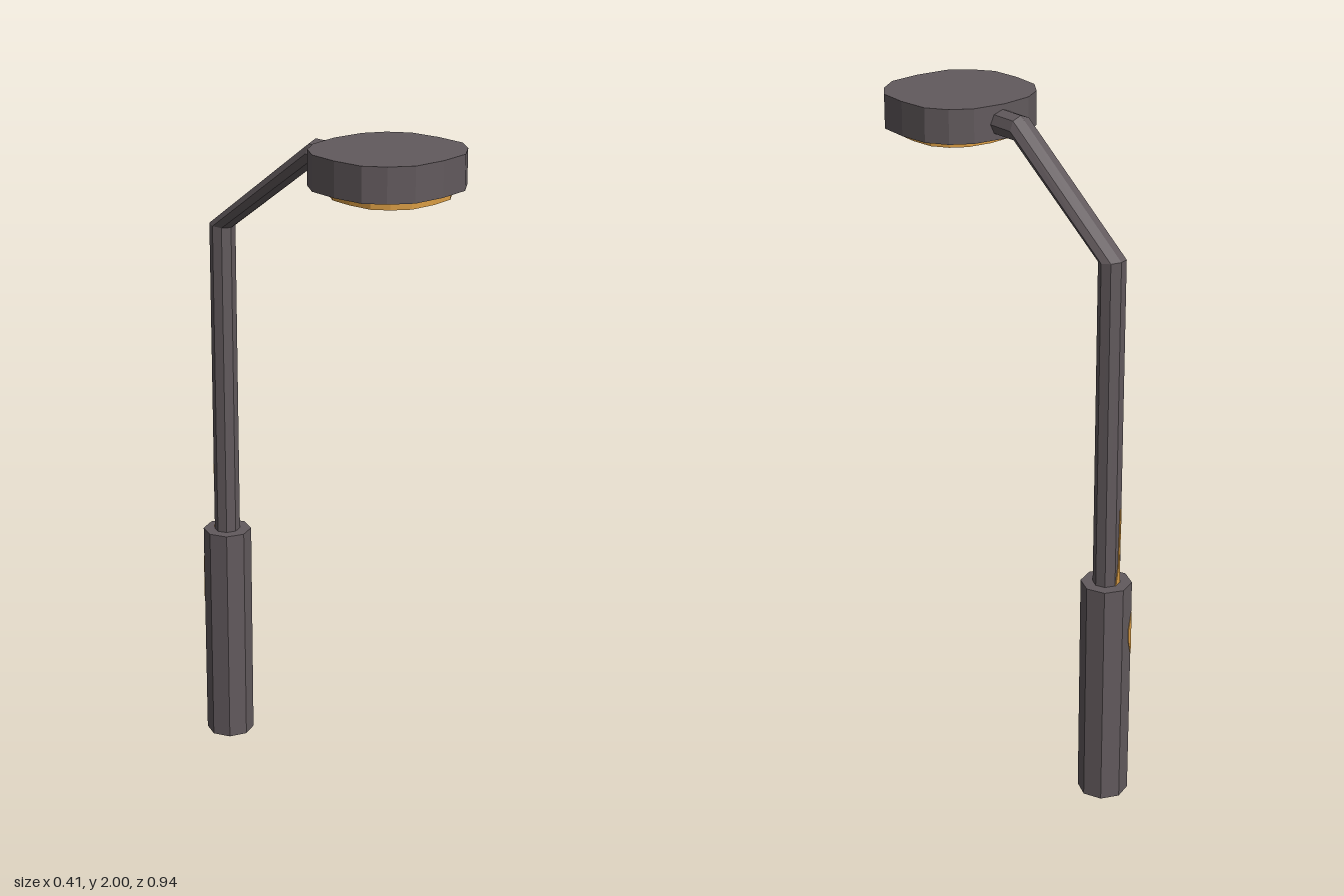
import * as THREE from 'three';

const metal = new THREE.MeshStandardMaterial({ name: 'darkGreyMetal', color: 0x625a5d, flatShading: true });
const amber = new THREE.MeshStandardMaterial({ name: 'amberLight', color: 0xd99c44, flatShading: true });

function add(group, name, geometry, material) {
  const mesh = new THREE.Mesh(geometry, material);
  mesh.name = name;
  group.add(mesh);
  return mesh;
}

// Flat-sided slab from an outline in x and z, hanging down from the height top
function slab(points, top, depth) {
  const shape = new THREE.Shape(points.map(([x, z]) => new THREE.Vector2(x, z)));
  return new THREE.ExtrudeGeometry(shape, { depth, bevelEnabled: false })
    .rotateX(Math.PI / 2)
    .translate(0, top, 0);
}

// Eight-sided bent tube: each ring has a centre and the direction of its front corner
function bentPole(rings, radius) {
  const rows = rings.length - 1;
  const geometry = new THREE.CylinderGeometry(1, 1, rows, 8, rows, true);
  const p = geometry.attributes.position;
  for (let i = 0; i < p.count; i++) {
    const ring = rings[Math.round(p.getY(i) + rows / 2)];
    const x = p.getX(i), f = p.getZ(i);
    p.setXYZ(i, 0.005 + x * radius, ring.y + f * ring.fy, ring.z + f * ring.fz);
  }
  geometry.computeVertexNormals();
  return geometry;
}

export function createModel() {
  const lamp = new THREE.Group();
  lamp.name = 'streetLamp';

  // Thick foot of the post
  add(lamp, 'base', new THREE.CylinderGeometry(0.074, 0.074, 0.695, 8), metal)
    .position.set(0.005, 0.3475, -0.4);

  // Post and angled arm in one piece
  add(lamp, 'postAndArm', bentPole([
    { y: 0.68, z: -0.4, fy: 0, fz: 0.038 },
    { y: 1.67, z: -0.4, fy: -0.005, fz: 0.037 },
    { y: 1.947, z: -0.013, fy: -0.038, fz: -0.002 },
    { y: 1.947, z: 0.12, fy: -0.038, fz: 0 },
  ], 0.04), metal);

  // Sixteen-sided lamp head, slightly squared
  const half = [[0, 0.067], [0.097, 0.08], [0.157, 0.117], [0.197, 0.175],
    [0.207, 0.267], [0.2, 0.36], [0.16, 0.415], [0.099, 0.46], [0, 0.47]];
  const outline = [...half, ...half.slice(1, -1).reverse().map(([x, z]) => [-x, z])];
  add(lamp, 'head', slab(outline, 2, 0.1), metal);

  // Light disc under the head
  const disc = outline.map(([x, z]) => [x * 0.77, 0.28 + (z - 0.268) * 0.77]);
  add(lamp, 'light', slab(disc, 1.902, 0.028), amber);

  // Small amber marks on the back face of the post and base
  const marks = [
    ['postMark', 0.039, [[-0.014, 0.696], [0.012, 0.696], [0.009, 0.75], [0.013, 0.93], [0.006, 0.93], [0, 0.75]]],
    ['baseMark', 0.074, [[0.027, 0.46], [0.027, 0.6], [0.01, 0.55], [0.01, 0.51]]],
  ];
  const angle = Math.PI * 1.125;
  for (const [name, radius, points] of marks) {
    const shape = new THREE.Shape(points.map(([x, y]) => new THREE.Vector2(x, y)));
    const plate = new THREE.ExtrudeGeometry(shape, { depth: 0.003, bevelEnabled: false });
    const mark = add(lamp, name, plate, amber);
    const d = radius * Math.cos(Math.PI / 8) - 0.001;
    mark.rotation.y = angle;
    mark.position.set(0.005 + Math.sin(angle) * d, 0, -0.4 + Math.cos(angle) * d);
  }
  return lamp;
}
